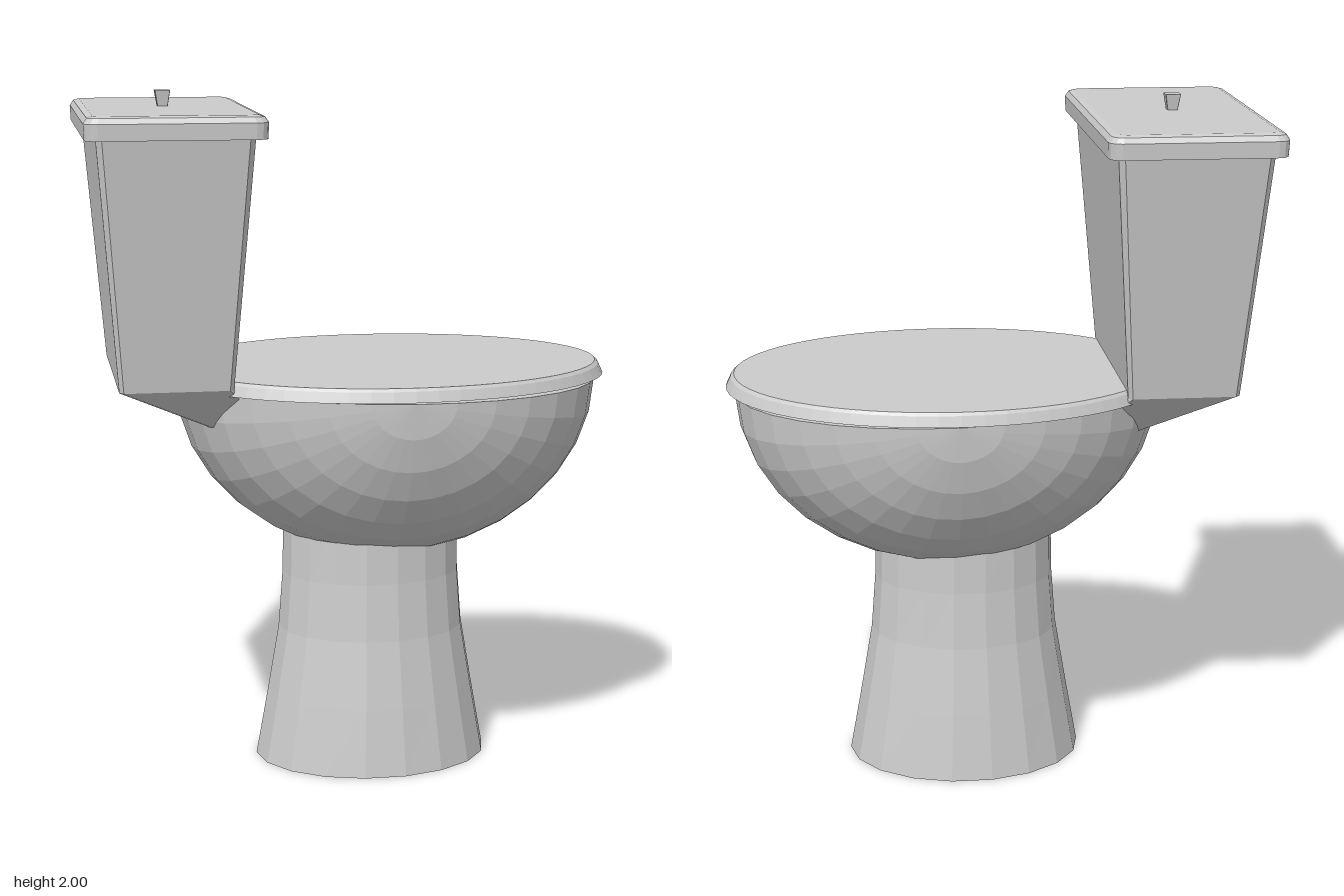
import * as THREE from 'three';

const material = new THREE.MeshStandardMaterial({ color: 0xcccccc, flatShading: true });

// Ellipse cross-section at height y
function ellipse(y, cx, rx, rz, sides) {
  return Array.from({ length: sides }, (_, i) => {
    const a = (i / sides) * Math.PI * 2;
    return [cx + Math.cos(a) * rx, y, Math.sin(a) * rz];
  });
}

// Rectangle cross-section with rounded corners (steps = 1 gives a chamfer)
function roundedRect(y, cx, hx, hz, r, steps) {
  const points = [];
  [[1, 1], [-1, 1], [-1, -1], [1, -1]].forEach(([sx, sz], corner) => {
    for (let i = 0; i <= steps; i++) {
      const a = (corner + i / steps) * Math.PI / 2;
      points.push([cx + sx * (hx - r) + Math.cos(a) * r, y, sz * (hz - r) + Math.sin(a) * r]);
    }
  });
  return points;
}

// Closed solid through cross-sections listed from bottom to top
function loft(name, rings) {
  const n = rings[0].length;
  const positions = rings.flat(2);
  const index = [];
  for (let k = 0; k < rings.length - 1; k++) {
    for (let j = 0; j < n; j++) {
      const a = k * n + j, b = k * n + (j + 1) % n;
      index.push(a, a + n, b, b, a + n, b + n);
    }
  }
  const top = (rings.length - 1) * n;
  for (let j = 1; j < n - 1; j++) {
    index.push(0, j, j + 1);
    index.push(top, top + j + 1, top + j);
  }
  const indexed = new THREE.BufferGeometry();
  indexed.setAttribute('position', new THREE.Float32BufferAttribute(positions, 3));
  indexed.setIndex(index);
  const geometry = indexed.toNonIndexed();
  geometry.computeVertexNormals();
  const mesh = new THREE.Mesh(geometry, material);
  mesh.name = name;
  return mesh;
}

export function createModel() {
  const model = new THREE.Group();
  model.name = 'toilet';

  // Flared oval foot, running up into the bowl
  const pedestalProfile = [[0, 0.35, 0.28], [0.2, 0.314, 0.254], [0.4, 0.28, 0.225], [0.57, 0.267, 0.212], [0.76, 0.264, 0.208]];
  model.add(loft('pedestal', pedestalProfile.map(([y, rx, rz]) => ellipse(y, 0.075, rx, rz, 18))));

  // Half-ellipsoid bowl, tipped slightly forward
  const bowl = new THREE.Group();
  bowl.name = 'bowl';
  const shell = new THREE.Mesh(new THREE.SphereGeometry(1, 16, 16, 0, Math.PI).rotateX(Math.PI / 2), material);
  shell.name = 'bowlShell';
  const rim = new THREE.Mesh(new THREE.CircleGeometry(1, 32).rotateX(-Math.PI / 2), material);
  rim.name = 'bowlTop';
  bowl.add(shell, rim);
  bowl.scale.set(0.625, 0.53, 0.465);
  bowl.position.set(0.12, 1.157, 0);
  bowl.rotation.z = -0.015;
  model.add(bowl);

  // Oval seat lid with a sloping edge
  model.add(loft('seatLid', [
    ellipse(1.165, 0.12, 0.65, 0.487, 64),
    ellipse(1.195, 0.12, 0.636, 0.477, 64),
    ellipse(1.204, 0.12, 0.626, 0.47, 64),
  ]));

  // Cistern: wedge into the bowl, then a body widening upward
  model.add(loft('tank', [
    roundedRect(1.03, -0.3, 0.07, 0.19, 0.012, 1),
    roundedRect(1.185, -0.527, 0.16, 0.328, 0.012, 1),
    roundedRect(1.9, -0.527, 0.216, 0.435, 0.016, 1),
  ]));

  // Cistern cover with softened edges
  model.add(loft('tankCover', [
    roundedRect(1.89, -0.527, 0.246, 0.47, 0.035, 3),
    roundedRect(1.935, -0.527, 0.248, 0.472, 0.035, 3),
    roundedRect(1.95, -0.527, 0.238, 0.462, 0.032, 3),
    roundedRect(1.955, -0.527, 0.222, 0.446, 0.025, 3),
  ]));

  // Flush knob
  model.add(loft('flushKnob', [
    roundedRect(1.95, -0.53, 0.014, 0.014, 0.001, 1),
    roundedRect(2.0, -0.53, 0.022, 0.022, 0.001, 1),
  ]));

  return model;
}
